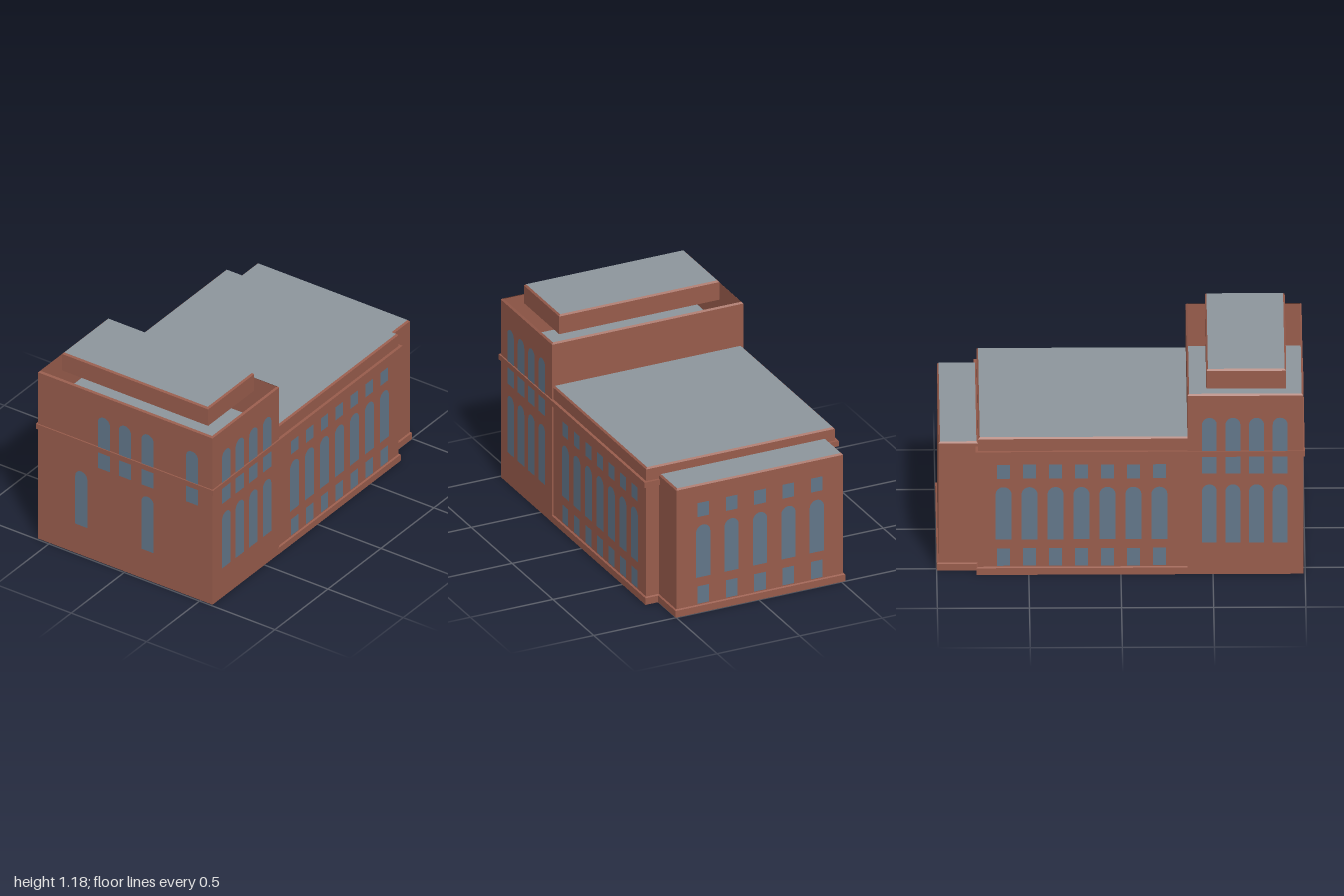
import * as THREE from 'three';

const material = (name, color) => {
  const m = new THREE.MeshStandardMaterial({ color, side: THREE.DoubleSide });
  m.name = name;
  return m;
};

export function createModel() {
  const brick = material('brick', 0x985c4c);
  const slate = material('roof grey', 0x8d969c);
  const glass = material('window blue', 0x627689);
  glass.side = THREE.FrontSide;

  const building = new THREE.Group();
  building.name = 'building';

  function add(parent, name, geometry, mat) {
    const mesh = new THREE.Mesh(geometry, mat);
    mesh.name = name;
    parent.add(mesh);
    return mesh;
  }

  // Open rectangular shell lofted through levels of [inset, y]
  function shell(name, [x0, x1, z0, z1], levels) {
    const pos = [];
    const ring = ([i, y]) => [
      [x0 + i, y, z1 - i], [x1 - i, y, z1 - i],
      [x1 - i, y, z0 + i], [x0 + i, y, z0 + i],
    ];
    for (let l = 0; l < levels.length - 1; l++) {
      const lo = ring(levels[l]), hi = ring(levels[l + 1]);
      for (let s = 0; s < 4; s++) {
        const n = (s + 1) % 4;
        pos.push(...lo[s], ...lo[n], ...hi[n], ...lo[s], ...hi[n], ...hi[s]);
      }
    }
    const g = new THREE.BufferGeometry();
    g.setAttribute('position', new THREE.Float32BufferAttribute(pos, 3));
    g.computeVertexNormals();
    add(building, name, g, brick);
  }

  function roof(name, [x0, x1, z0, z1], inset, y) {
    const g = new THREE.PlaneGeometry(x1 - x0 - 2 * inset, z1 - z0 - 2 * inset);
    g.rotateX(-Math.PI / 2);
    add(building, name, g, slate).position.set((x0 + x1) / 2, y, (z0 + z1) / 2);
  }

  const BEVEL = 0.009;
  const tower = [-0.99, -0.361, -0.579, 0.579];
  const hall = [-0.37, 0.775, -0.571, 0.571];
  const wing = [0.775, 0.99, -0.515, 0.495];
  const penthouse = [-0.898, -0.464, -0.485, 0.485];

  // Walls, with plinths flaring at the foot and a chamfered top edge
  const plinth = [[-0.009, 0], [-0.009, 0.04], [0, 0.045]];
  shell('towerWalls', tower, [[0, 0], [0, 1.071], [BEVEL, 1.08]]);
  shell('hallWalls', hall, [...plinth, [0, 0.811], [BEVEL, 0.82]]);
  shell('wingWalls', wing, [...plinth, [0, 0.76], [BEVEL, 0.769]]);
  shell('penthouseWalls', penthouse, [[0, 1.07], [0, 1.176], [BEVEL, 1.185]]);

  // Projecting string course around tower and hall
  shell('stringCourse', [-0.998, 0.79, -0.588, 0.588],
    [[0.018, 0.709], [0, 0.709], [0, 0.741], [0.018, 0.741]]);

  // Flat roofs; the tower roof lies deep behind its parapet
  roof('towerRoof', tower, 0, 0.82);
  roof('hallRoof', hall, BEVEL, 0.82);
  roof('wingRoof', wing, BEVEL, 0.769);
  roof('penthouseRoof', penthouse, BEVEL, 1.185);

  // Window panes
  function pane(w, y0, y1, arched) {
    const s = new THREE.Shape();
    const r = w / 2;
    s.moveTo(-r, y0);
    s.lineTo(r, y0);
    if (arched) s.absarc(0, y1 - r, r, 0, Math.PI, false);
    else { s.lineTo(r, y1); s.lineTo(-r, y1); }
    s.closePath();
    return new THREE.ShapeGeometry(s, 8);
  }
  const hallPanes = [
    pane(0.07, 0.052, 0.157, false),
    pane(0.086, 0.21, 0.524, true),
    pane(0.07, 0.575, 0.659, false),
  ];
  const towerLow = pane(0.08, 0.19, 0.54, true);
  const towerHigh = pane(0.08, 0.605, 0.94, true);

  // A facade faces the given way, at a distance from the centre
  function facade(name, angle, distance, centres, panes) {
    const group = new THREE.Group();
    group.name = name;
    group.rotation.y = angle;
    for (const u of centres) {
      for (const p of panes) add(group, 'window', p, glass).position.set(u, 0, distance);
    }
    building.add(group);
  }

  const row = (n, start, step) => Array.from({ length: n }, (_, i) => start + i * step);
  const hallColumns = row(7, -0.209, 0.141);
  const towerColumns = row(4, -0.864, 0.128);
  for (const [side, angle, sign] of [['front', 0, 1], ['back', Math.PI, -1]]) {
    const place = (columns) => columns.map((x) => x * sign);
    facade(side + 'HallWindows', angle, 0.574, place(hallColumns), hallPanes);
    facade(side + 'TowerWindows', angle, 0.582, place(towerColumns), [towerLow, towerHigh]);
  }
  facade('wingEndWindows', Math.PI / 2, 0.993, row(5, -0.334, 0.172), hallPanes);

  // Scattered windows on the tower end wall
  facade('towerEndHighWindows', -Math.PI / 2, 0.993, [-0.14, 0, 0.15, 0.445], [towerHigh]);
  facade('towerEndLowWindows', -Math.PI / 2, 0.993, [-0.29, 0.15], [towerLow]);

  return building;
}
